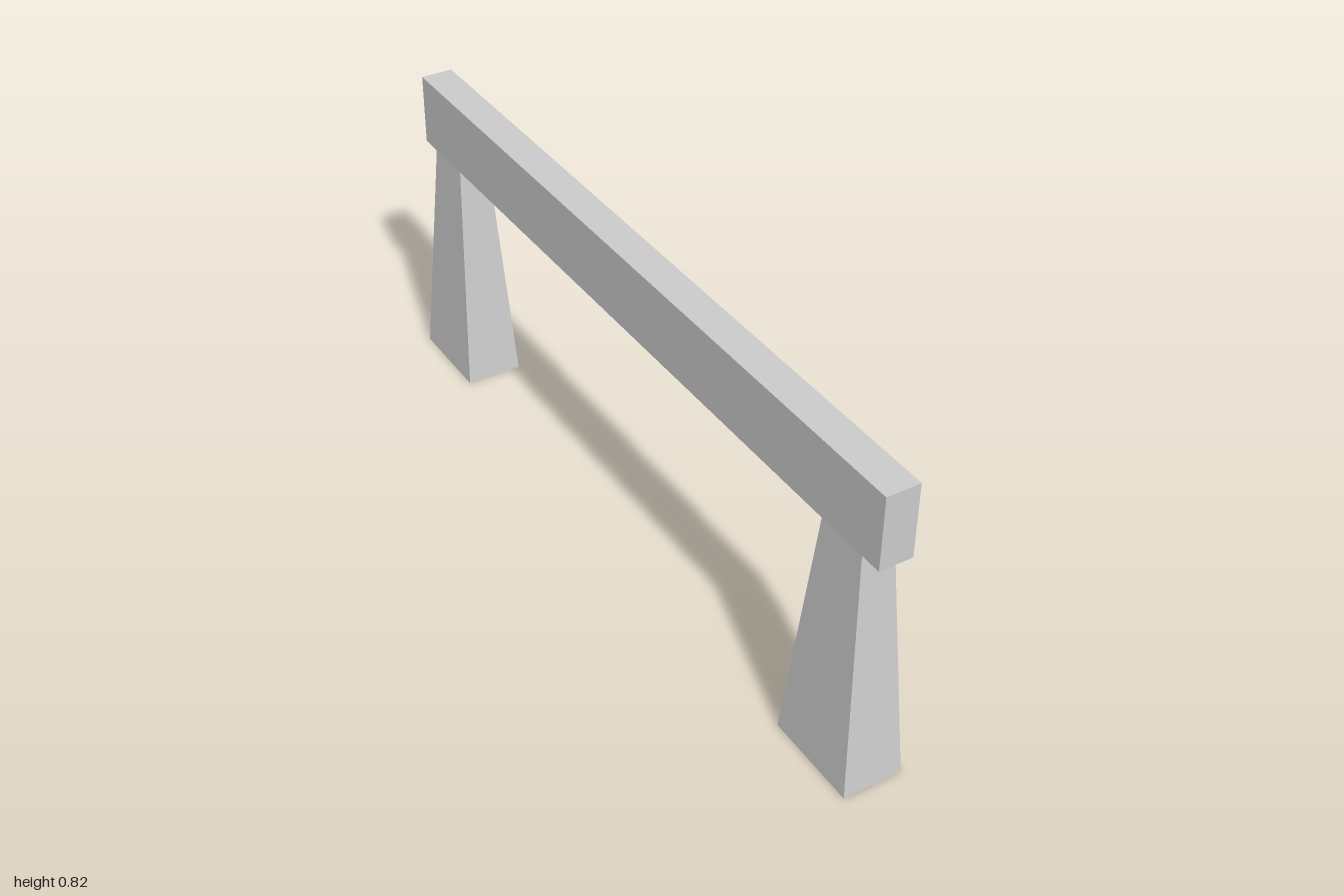
import * as THREE from 'three';

const material = new THREE.MeshStandardMaterial({ color: 0xcccccc, flatShading: true });

// Box standing on y = 0 whose top is narrowed to topW x topD
function taperedBox(w, h, d, topW, topD) {
  const geometry = new THREE.BoxGeometry(w, h, d).translate(0, h / 2, 0);
  const p = geometry.attributes.position;
  for (let i = 0; i < p.count; i++) {
    if (p.getY(i) > h / 2) {
      p.setX(i, Math.sign(p.getX(i)) * topW / 2);
      p.setZ(i, Math.sign(p.getZ(i)) * topD / 2);
    }
  }
  geometry.computeVertexNormals();
  return geometry;
}

export function createModel() {
  const group = new THREE.Group();
  group.name = 'beamOnPillars';
  const beamBottom = 0.63, beamTop = 0.818;

  // Long horizontal beam
  const beam = new THREE.Mesh(new THREE.BoxGeometry(0.084, beamTop - beamBottom, 2), material);
  beam.name = 'beam';
  beam.position.y = (beamBottom + beamTop) / 2;
  group.add(beam);

  // Tapered pillar under each end
  const pillarGeometry = taperedBox(0.152, beamBottom, 0.25, 0.081, 0.136);
  for (const [name, side] of [['frontPillar', 1], ['backPillar', -1]]) {
    const pillar = new THREE.Mesh(pillarGeometry, material);
    pillar.name = name;
    pillar.position.z = side * 0.875;
    group.add(pillar);
  }
  return group;
}
